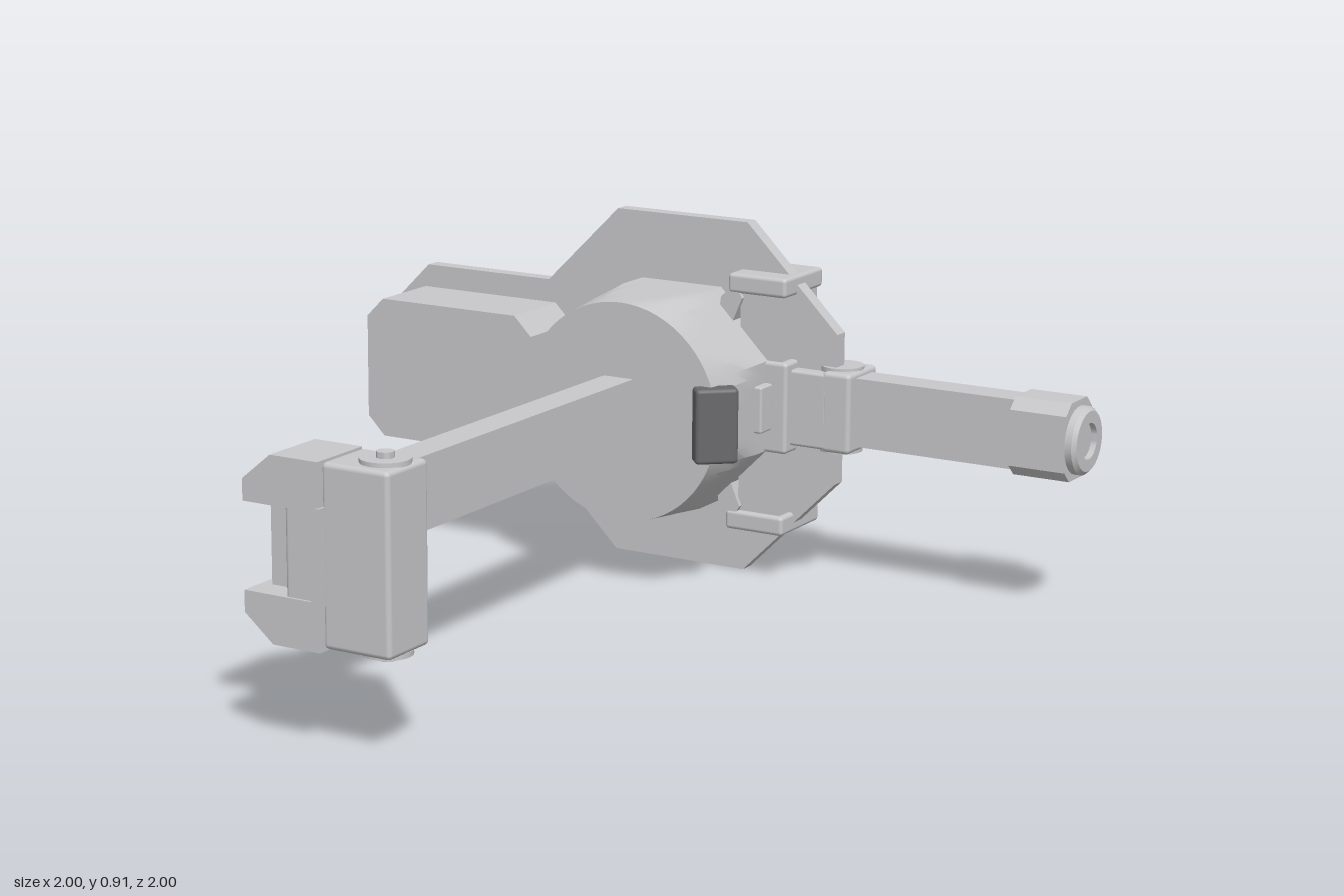
import * as THREE from 'three';
import { RoundedBoxGeometry } from 'three/addons/geometries/RoundedBoxGeometry.js';
import { toCreasedNormals } from 'three/addons/utils/BufferGeometryUtils.js';

const CY = 0.458; // height of the horizontal mid plane

export function createModel() {
  const root = new THREE.Group();
  const grey = new THREE.MeshStandardMaterial({ color: 0xc8c8ca });
  grey.name = 'lightGrey';
  const dark = new THREE.MeshStandardMaterial({ color: 0x69696b });
  dark.name = 'darkGrey';

  const add = (name, geo, mat = grey) => {
    const m = new THREE.Mesh(geo, mat);
    m.name = name;
    root.add(m);
    return m;
  };
  // Box given by its ranges; r rounds the edges
  const box = (name, x0, x1, y0, y1, z0, z1, r = 0) => {
    const s = [x1 - x0, y1 - y0, z1 - z0];
    const g = r ? new RoundedBoxGeometry(...s, 2, r) : new THREE.BoxGeometry(...s);
    return add(name, g.translate((x0 + x1) / 2, (y0 + y1) / 2, (z0 + z1) / 2));
  };
  const extrude = (pts, d) => new THREE.ExtrudeGeometry(
    new THREE.Shape(pts.map(p => new THREE.Vector2(...p))), { depth: d, bevelEnabled: false });
  // Outline in x,y pulled along z
  const prismZ = (name, pts, z0, z1) => add(name, extrude(pts, z1 - z0).translate(0, 0, z0));
  // Outline in z,y pulled along x
  const prismX = (name, pts, x0, x1) =>
    add(name, extrude(pts, x1 - x0).rotateY(-Math.PI / 2).translate(x1, 0, 0));
  // Upper half outline (heights from the mid plane), mirrored downwards
  const mirrored = half => [...half.map(([a, h]) => [a, CY + h]),
    ...half.slice().reverse().map(([a, h]) => [a, CY - h])];
  const cylinder = (name, r, h, x, y, z, axis = 'y') => {
    const g = toCreasedNormals(new THREE.CylinderGeometry(r, r, h, 32), 0.6);
    if (axis === 'z') g.rotateX(Math.PI / 2);
    if (axis === 'x') g.rotateZ(-Math.PI / 2);
    return add(name, g.translate(x, y, z));
  };

  // Backing plate and side pod
  prismZ('backPlate', mirrored([[-1, 0.145], [-0.9, 0.245], [-0.52, 0.245], [-0.31, 0.453],
    [0.07, 0.453], [0.33, 0.193]]), -0.845, -0.805);
  prismZ('sidePod', mirrored([[-0.96, 0.135], [-0.91, 0.185], [-0.5, 0.185], [-0.45, 0.135]]),
    -0.806, -0.605);

  // Octagonal drum whose corners are turned off to a round front
  const drum = new THREE.CylinderGeometry(0.28, 0.28, 0.31, 64, 6);
  const p = drum.attributes.position;
  for (let i = 0; i < p.count; i++) {
    if (Math.hypot(p.getX(i), p.getZ(i)) < 0.1) continue;
    const a = Math.atan2(p.getZ(i), p.getX(i)), s = Math.PI / 4;
    const octagon = 1 / Math.cos(a - Math.round(a / s) * s);
    const cone = 1 + 0.4 * (0.155 - p.getY(i));
    const k = Math.min(octagon, cone);
    p.setX(i, p.getX(i) * k);
    p.setZ(i, p.getZ(i) * k);
  }
  drum.rotateX(Math.PI / 2).translate(-0.12, CY, -0.655);
  add('drum', toCreasedNormals(drum, 0.3));
  const clamp = add('drumClamp', new RoundedBoxGeometry(0.108, 0.19, 0.055, 2, 0.01), dark);
  clamp.position.set(0.15, CY, -0.51);
  clamp.rotation.y = 0.72;
  box('drumLug', 0.1, 0.18, 0.4, 0.52, -0.75, -0.69, 0.006);

  // Long forward arm
  box('frontArm', -0.165, -0.08, 0.37, 0.547, -0.51, 0.8);

  // Head of the forward arm
  prismX('headRearCollar', mirrored([[0.73, 0.11], [0.825, 0.21], [0.86, 0.21], [0.86, 0.11]]),
    -0.08, -0.06);
  box('headNotchFill', -0.135, -0.05, 0.36, 0.556, 0.79, 0.935);
  for (const s of [1, -1]) {
    // Jaws above and below the open notch
    const jaw = [[-0.165, 0.1], [-0.165, 0.15], [-0.09, 0.212], [0.035, 0.212], [0.035, 0.1]]
      .map(([x, h]) => [x, CY + s * h]);
    prismZ('headJaw', jaw, 0.83, 0.996);
    const brace = [[0.73, 0.088], [0.73, 0.11], [0.84, 0.16], [0.84, 0.088]]
      .map(([z, h]) => [z, CY + s * h]);
    prismX('headBrace', brace, -0.165, -0.07);
    // Pivot buttons on the block
    cylinder('headPivotDisc', 0.057, 0.012, 0.145, CY + s * 0.212, 0.9);
    cylinder('headPivotPin', 0.02, 0.03, 0.145, CY + s * 0.217, 0.9);
  }
  box('headSpine', -0.06, 0.035, 0.255, 0.66, 0.815, 0.99, 0.012);
  prismZ('headBoss', mirrored([[-0.025, 0.06], [0.03, 0.11], [0.04, 0.11]]), 0.83, 1);
  box('headBlock', 0.03, 0.205, 0.25, 0.666, 0.825, 0.978, 0.012);

  // Vertical frame carrying the side arm
  for (const s of [1, -1]) {
    const y = CY + s * 0.307;
    box('frameCap', 0.05, 0.215, y - 0.025, y + 0.025, -0.942, -0.742, 0.01);
    const strut = [[0.03, 0.27], [0.07, 0.305], [0.09, 0.27], [0.06, 0.2], [0.02, 0.2]]
      .map(([x, h]) => [x, CY + s * h]);
    prismZ('frameStrut', strut, -0.8, -0.745);
    box('frameFoot', 0.07, 0.2, CY + s * 0.25 - 0.04, CY + s * 0.25 + 0.04, -0.93, -0.89, 0.008);
    box('hubClaw', -0.155, 0.05, CY + s * 0.085 - 0.025, CY + s * 0.085 + 0.025,
      -0.978, -0.85, 0.01);
    box('plateClip', -0.11, -0.02, CY + s * 0.2 - 0.012, CY + s * 0.2 + 0.012, -0.862, -0.84);
  }
  box('frontRail', 0.08, 0.2, 0.15, 0.766, -0.802, -0.757);
  box('rearRail', 0.08, 0.2, 0.15, 0.766, -0.938, -0.887);
  box('frameCore', 0.05, 0.22, 0.34, 0.575, -0.94, -0.745, 0.01);
  prismX('bowRib', mirrored([[-0.84, 0.28], [-0.945, 0.28], [-1, 0.06]]), 0.01, 0.08);

  // Rear hub on the plate
  cylinder('hubDisc', 0.18, 0.018, -0.12, CY, -0.852, 'z');
  box('hubBlock', -0.1, 0.05, 0.4, 0.515, -0.955, -0.85, 0.01);

  // Elbow and side arm
  box('elbowBlock', 0.21, 0.32, 0.36, 0.555, -0.925, -0.77, 0.008);
  box('elbowCollar', 0.305, 0.385, 0.355, 0.561, -0.92, -0.77, 0.012);
  cylinder('elbowPivot', 0.055, 0.22, 0.325, CY, -0.845);
  box('sideArm', 0.37, 0.83, 0.372, 0.547, -0.89, -0.803);

  // Chamfered tip with a hollow ring
  prismX('tipHousing', mirrored([[-0.925, 0.07], [-0.895, 0.098], [-0.805, 0.098],
    [-0.775, 0.07]]), 0.82, 0.968);
  cylinder('tipNeck', 0.07, 0.02, 0.975, CY, -0.845, 'x');
  const ring = [[0.045, 0], [0.085, 0], [0.085, 0.018], [0.075, 0.028], [0.045, 0.028], [0.045, 0]];
  const lathe = toCreasedNormals(
    new THREE.LatheGeometry(ring.map(q => new THREE.Vector2(...q)), 32), 0.5);
  add('tipRing', lathe.rotateZ(-Math.PI / 2).translate(0.972, CY, -0.845));

  return root;
}
